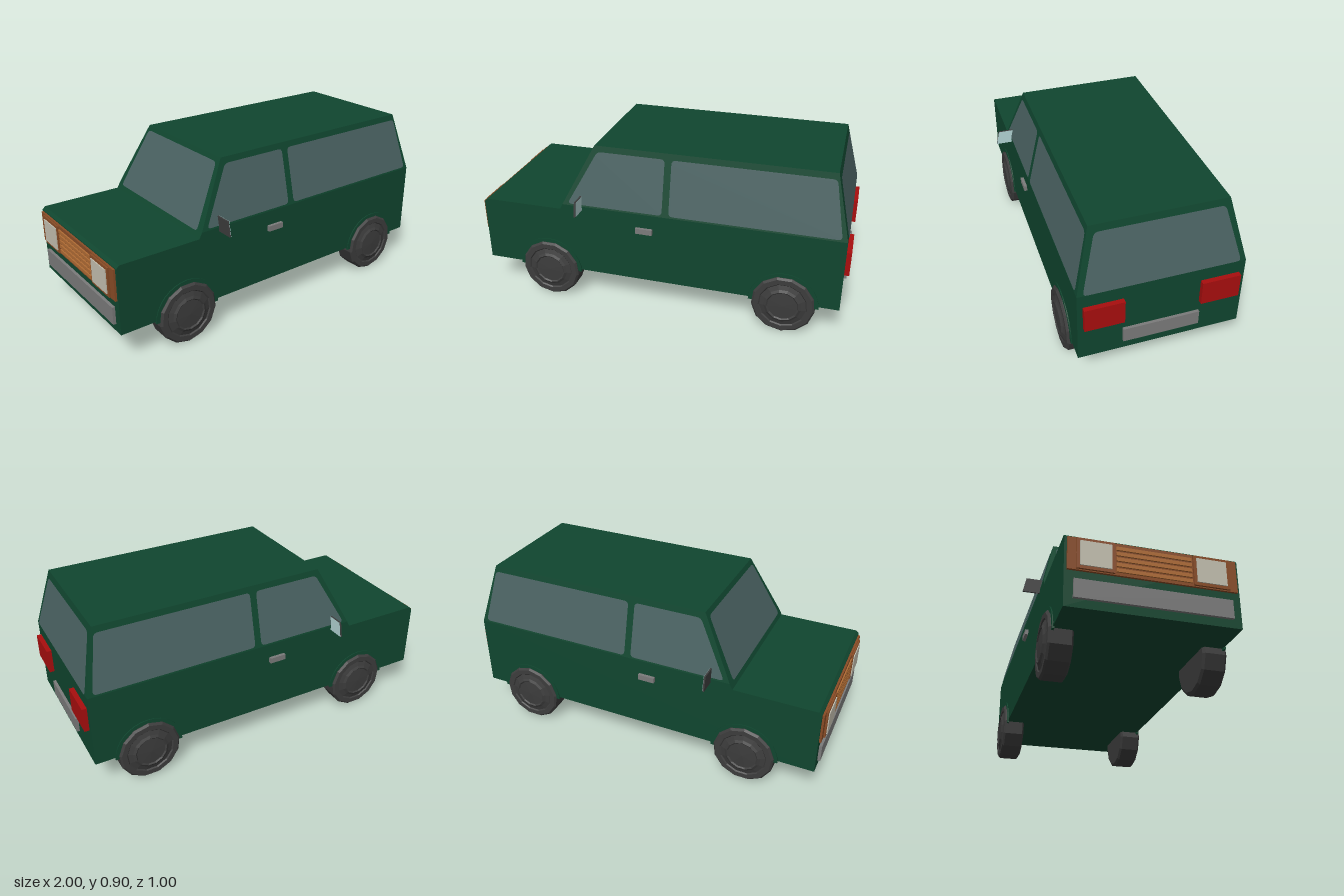
import * as THREE from 'three';

const mat = (name, color, side = THREE.FrontSide) => {
  const m = new THREE.MeshStandardMaterial({ color, side });
  m.name = name;
  return m;
};

export function createModel() {
  const car = new THREE.Group();
  car.name = 'car';
  const paint = mat('green paint', 0x10462f);
  const glass = mat('tinted glass', 0x4a6262, THREE.DoubleSide);
  const rubber = mat('dark rubber', 0x3c3c3c);
  const metal = mat('grey metal', 0x7b7b7b);
  const red = mat('red lens', 0xa80e0e);
  const brown = mat('brown trim', 0x8a4c26);
  const slatMat = mat('light brown slats', 0xb06c34);
  const lens = mat('headlamp lens', 0xc4c0b0);
  const mirrorMat = mat('mirror glass', 0xb4d6d6, THREE.DoubleSide);

  const add = (name, geo, material) => {
    const mesh = new THREE.Mesh(geo, material);
    mesh.name = name;
    car.add(mesh);
    return mesh;
  };
  // Box given by its ranges on each axis
  const block = (name, [x0, x1], [y0, y1], [z0, z1], material) => {
    const mesh = add(name, new THREE.BoxGeometry(x1 - x0, y1 - y0, z1 - z0), material);
    mesh.position.set((x0 + x1) / 2, (y0 + y1) / 2, (z0 + z1) / 2);
    return mesh;
  };
  // Polygon with rounded corners
  const rounded = (pts, r) => {
    const shape = new THREE.Shape();
    const v = pts.map(p => new THREE.Vector2(...p));
    v.forEach((p, i) => {
      const prev = v[(i + v.length - 1) % v.length], next = v[(i + 1) % v.length];
      const a = prev.clone().sub(p).setLength(r).add(p);
      const b = next.clone().sub(p).setLength(r).add(p);
      if (i) shape.lineTo(a.x, a.y); else shape.moveTo(a.x, a.y);
      shape.quadraticCurveTo(p.x, p.y, b.x, b.y);
    });
    shape.closePath();
    return shape;
  };
  // Flat pane laid onto a sloping body face
  const pane = (name, pts, place) => {
    const geo = new THREE.ShapeGeometry(rounded(pts, 0.022), 4);
    const p = geo.attributes.position;
    for (let i = 0; i < p.count; i++) p.setXYZ(i, ...place(p.getX(i), p.getY(i)));
    geo.computeVertexNormals();
    add(name, geo, glass);
  };

  // Lower body
  const hull = new THREE.Shape([
    [-0.975, 0.18], [0.975, 0.18], [0.975, 0.575], [-0.509, 0.575],
    [-0.525, 0.545], [-0.96, 0.545], [-0.975, 0.53],
  ].map(p => new THREE.Vector2(...p)));
  const hullGeo = new THREE.ExtrudeGeometry(hull, { depth: 0.824, bevelEnabled: false });
  add('lowerBody', hullGeo.translate(0, 0, -0.412), paint);

  // Tapered cabin
  const cabin = new THREE.BoxGeometry(1, 1, 1).toNonIndexed();
  const cp = cabin.attributes.position;
  for (let i = 0; i < cp.count; i++) {
    const top = cp.getY(i) > 0, rear = cp.getX(i) > 0;
    cp.setXYZ(i,
      rear ? (top ? 0.895 : 0.975) : (top ? -0.34 : -0.509),
      top ? 0.9 : 0.575,
      Math.sign(cp.getZ(i)) * (top ? 0.335 : 0.412));
  }
  cabin.computeVertexNormals();
  add('cabin', cabin, paint);

  // Windscreen and rear window
  pane('windscreen', [[-0.375, 0.572], [0.375, 0.572], [0.318, 0.878], [-0.318, 0.878]],
    (z, y) => [-0.529 + 0.185 * (y - 0.545) / 0.355, y, z]);
  pane('rearWindow', [[-0.385, 0.578], [0.385, 0.578], [0.31, 0.868], [-0.31, 0.868]],
    (z, y) => [0.979 - 0.08 * (y - 0.575) / 0.325, y, z]);

  // Wheel outline, from the inner face to the hub
  const wheelProfile = [
    [0, -0.06], [0.15, -0.06], [0.165, -0.05], [0.165, 0.05], [0.155, 0.06], [0.128, 0.06],
    [0.122, 0.054], [0.098, 0.062], [0.085, 0.07], [0.078, 0.064], [0, 0.068],
  ].map(p => new THREE.Vector2(...p));
  const wheelGeo = new THREE.LatheGeometry(wheelProfile, 13).toNonIndexed();
  wheelGeo.computeVertexNormals();
  const arch = new THREE.Shape();
  arch.absarc(0, 0, 0.182, 0, Math.PI, false);
  arch.absarc(0, 0, 0.155, Math.PI, 0, true);
  const archGeo = new THREE.ExtrudeGeometry(arch, { depth: 0.01, bevelEnabled: false, curveSegments: 8 });

  for (const s of [1, -1]) {
    const side = s > 0 ? 'Near' : 'Far';
    const span = (a, b) => (s > 0 ? [a, b] : [-b, -a]);

    // Side windows
    const place = (x, y) => [x, y, s * (0.415 - 0.077 * (y - 0.575) / 0.325)];
    pane('frontSideWindow' + side, [[-0.478, 0.585], [0.04, 0.585], [0.04, 0.87], [-0.322, 0.87]], place);
    pane('rearSideWindow' + side, [[0.076, 0.585], [0.948, 0.585], [0.892, 0.87], [0.076, 0.87]], place);

    // Wheels and arches
    for (const x of [-0.605, 0.69]) {
      const wheel = add('wheel' + side, wheelGeo, rubber);
      wheel.rotation.x = s * Math.PI / 2;
      wheel.position.set(x, 0.167, s * 0.37);
      add('wheelArch' + side, archGeo, paint).position.set(x, 0.168, s > 0 ? 0.407 : -0.417);
    }

    // Door handle
    block('doorHandle' + side, [-0.1, -0.01], [0.468, 0.498], span(0.405, 0.429), metal);

    // Door mirror: dark shell with a pale plate facing rearwards
    const outline = new THREE.Shape([[0.395, 0.555], [0.5, 0.555], [0.483, 0.633], [0.39, 0.633]]
      .map(([z, y]) => new THREE.Vector2(-s * z, y)));
    const shell = new THREE.ExtrudeGeometry(outline, { depth: 0.008, bevelEnabled: false });
    add('mirrorShell' + side, shell.rotateY(Math.PI / 2).translate(-0.409, 0, 0), rubber);
    add('mirrorGlass' + side, new THREE.ShapeGeometry(outline).rotateY(Math.PI / 2).translate(-0.399, 0, 0), mirrorMat);

    // Lamps
    block('tailLamp' + side, [0.97, 1], [0.375, 0.505], span(0.19, 0.385), red);
    block('headlampSurround' + side, [-0.995, -0.97], [0.365, 0.52], span(0.185, 0.36), brown);
    block('headlampLens' + side, [-1, -0.994], [0.38, 0.505], span(0.2, 0.345), lens);
  }

  // Grille
  block('grilleFrame', [-0.986, -0.97], [0.36, 0.525], [-0.4, 0.4], brown);
  for (let i = 0; i < 5; i++) {
    const y = 0.375 + i * 0.028;
    block('grilleSlat', [-0.993, -0.98], [y, y + 0.018], [-0.178, 0.178], slatMat);
  }

  // Bumper plates
  block('frontBumper', [-0.99, -0.97], [0.222, 0.315], [-0.37, 0.37], metal);
  block('rearPlate', [0.97, 0.99], [0.235, 0.315], [-0.192, 0.192], metal);

  return car;
}
